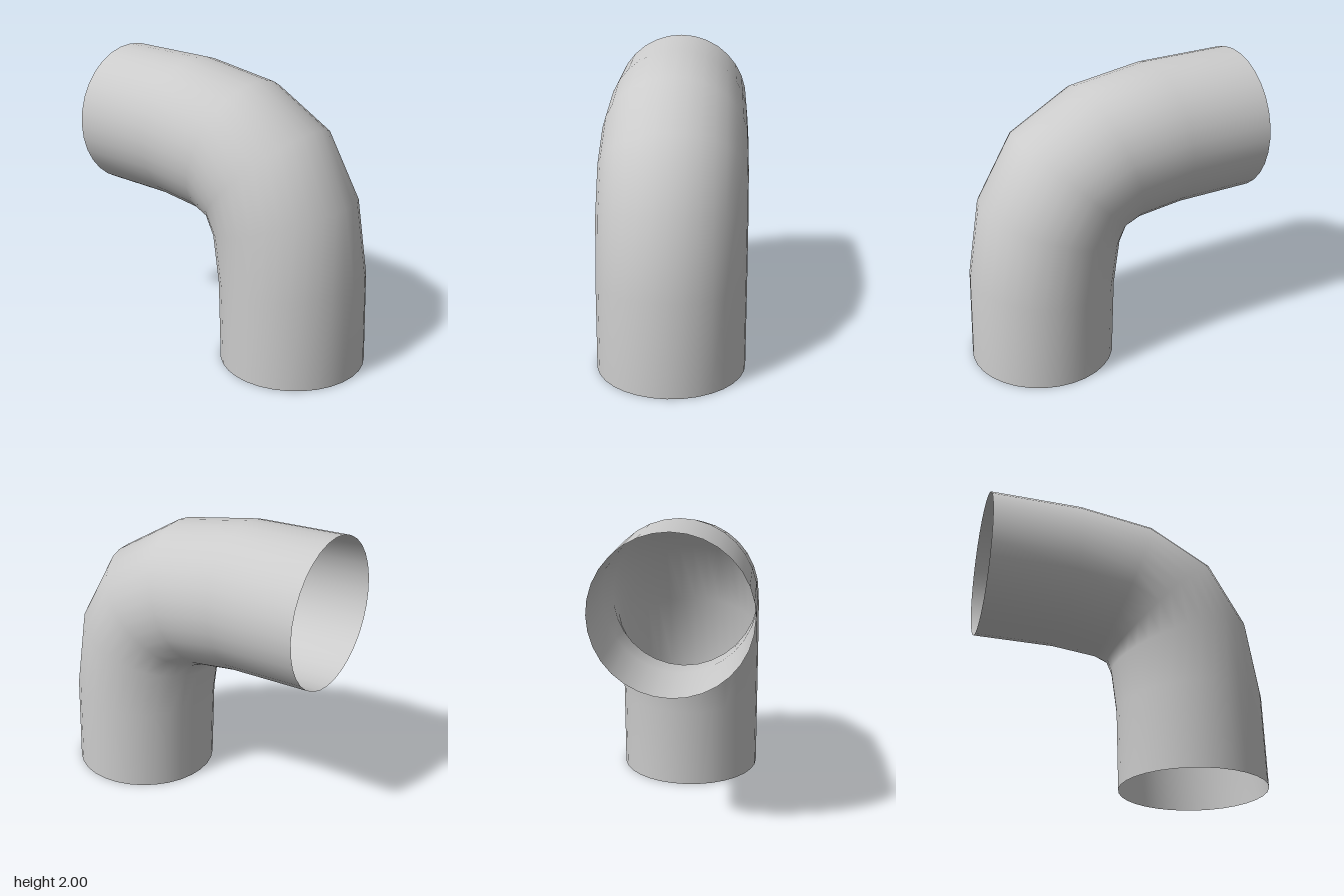
import * as THREE from 'three';
import { mergeVertices } from 'three/addons/utils/BufferGeometryUtils.js';

const RADIUS = 0.5, SIDES = 32, STEPS = 6;

// Centre line of the elbow: level at the open left end, vertical at the foot.
const path = new THREE.CubicBezierCurve3(
  new THREE.Vector3(-1, 1.5, 0),
  new THREE.Vector3(0.4, 1.5, 0),
  new THREE.Vector3(0.5, 1.4, 0),
  new THREE.Vector3(0.5, 0, 0)
);

// Ring centres at even curve parameters, each ring facing the bisector of its two segments.
function ringFrames() {
  const centres = path.getPoints(STEPS);
  return centres.map((centre, i) => {
    let tangent;
    if (i === 0 || i === STEPS) {
      tangent = path.getTangent(i / STEPS);
    } else {
      const before = centre.clone().sub(centres[i - 1]).normalize();
      const after = centres[i + 1].clone().sub(centre).normalize();
      tangent = before.add(after).normalize();
    }
    return { centre, outward: new THREE.Vector3(-tangent.y, tangent.x, 0) };
  });
}

// Open cylinder whose rows are moved onto the rings of the bend.
function bentPipeGeometry() {
  const cylinder = new THREE.CylinderGeometry(RADIUS, RADIUS, 1, SIDES, STEPS, true);
  const frames = ringFrames();
  const pos = cylinder.attributes.position;
  for (let i = 0; i < pos.count; i++) {
    const { centre, outward } = frames[Math.floor(i / (SIDES + 1))];
    const across = pos.getX(i);
    pos.setXYZ(i, centre.x + outward.x * across, centre.y + outward.y * across, pos.getZ(i));
  }
  // Weld the seam so the shading is smooth all round.
  cylinder.deleteAttribute('uv');
  cylinder.deleteAttribute('normal');
  const geometry = mergeVertices(cylinder);
  geometry.computeVertexNormals();
  return geometry;
}

export function createModel() {
  const model = new THREE.Group();
  model.name = 'pipeElbow';
  const material = new THREE.MeshStandardMaterial({ color: 0xcccccc, side: THREE.DoubleSide });
  const pipe = new THREE.Mesh(bentPipeGeometry(), material);
  pipe.name = 'bentPipe';
  model.add(pipe);
  return model;
}
